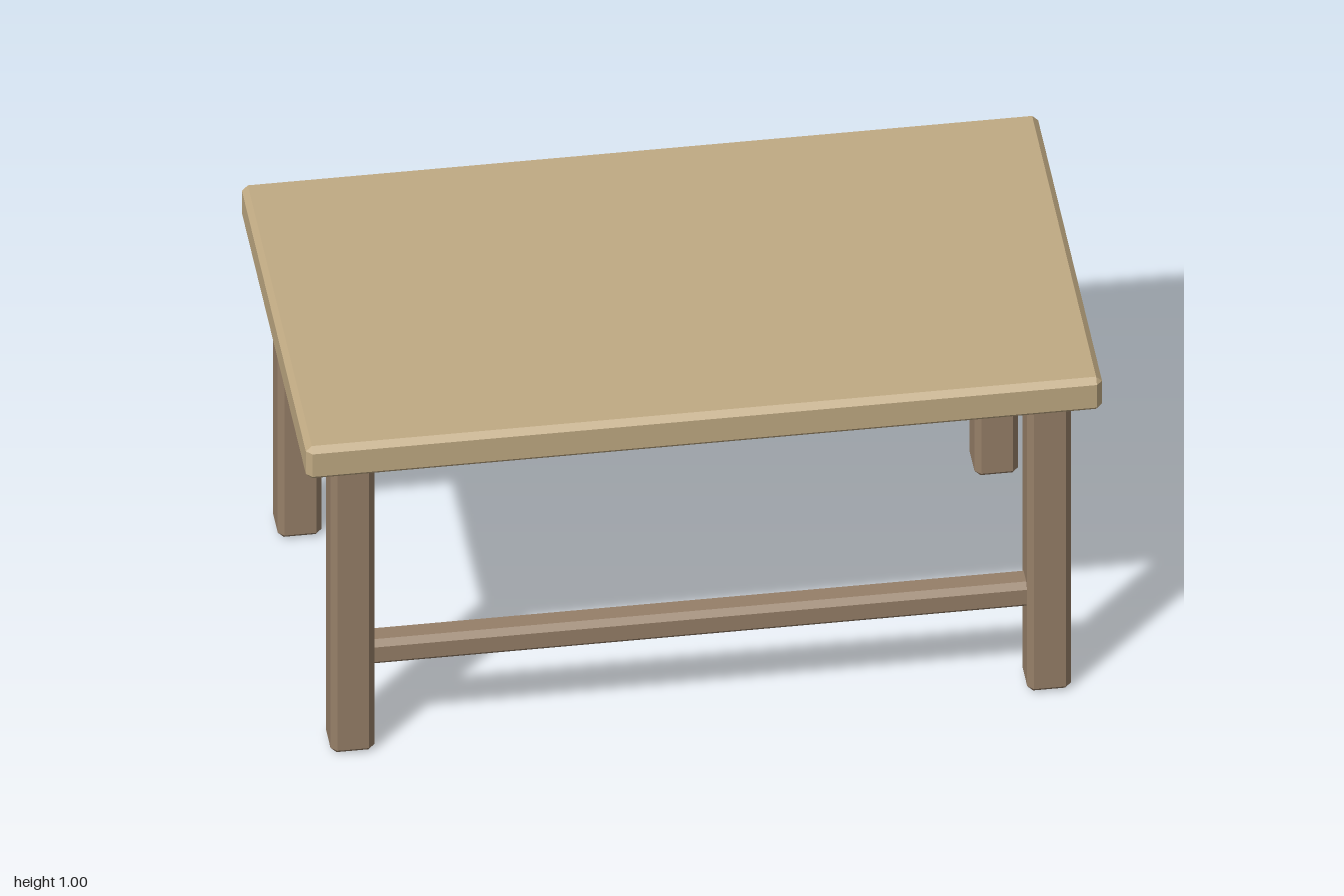
import * as THREE from 'three';
import { ConvexGeometry } from 'three/addons/geometries/ConvexGeometry.js';

const BEVEL = 0.015;

// Box with every edge cut by a single flat chamfer
function chamferedBox(w, h, d, c = BEVEL) {
  const points = [];
  for (const sx of [-1, 1]) for (const sy of [-1, 1]) for (const sz of [-1, 1]) {
    for (let axis = 0; axis < 3; axis++) {
      // one corner point per face meeting here: full extent on its own axis
      const inset = [c, c, c];
      inset[axis] = 0;
      points.push(new THREE.Vector3(
        sx * (w / 2 - inset[0]), sy * (h / 2 - inset[1]), sz * (d / 2 - inset[2])));
    }
  }
  return new ConvexGeometry(points);
}

export function createModel() {
  const table = new THREE.Group();
  table.name = 'table';

  const topWood = new THREE.MeshStandardMaterial({ color: 0xc0aa83, flatShading: true });
  const legWood = new THREE.MeshStandardMaterial({ color: 0x967f68, flatShading: true });

  function add(name, geometry, material, x, y, z) {
    const mesh = new THREE.Mesh(geometry, material);
    mesh.name = name;
    mesh.position.set(x, y, z);
    table.add(mesh);
  }

  // Thick top slab
  add('tabletop', chamferedBox(2, 0.1, 1.12), topWood, 0, 0.95, 0);

  // Four square legs, with a long stretcher joining each front and back pair
  const legGeometry = chamferedBox(0.11, 0.9, 0.11);
  const stretcherGeometry = chamferedBox(1.7, 0.075, 0.075);
  for (const [side, z] of [['front', 0.45], ['back', -0.45]]) {
    add(side + 'LeftLeg', legGeometry, legWood, 0.875, 0.45, z);
    add(side + 'RightLeg', legGeometry, legWood, -0.875, 0.45, z);
    add(side + 'Stretcher', stretcherGeometry, legWood, 0, 0.29, z);
  }

  return table;
}
